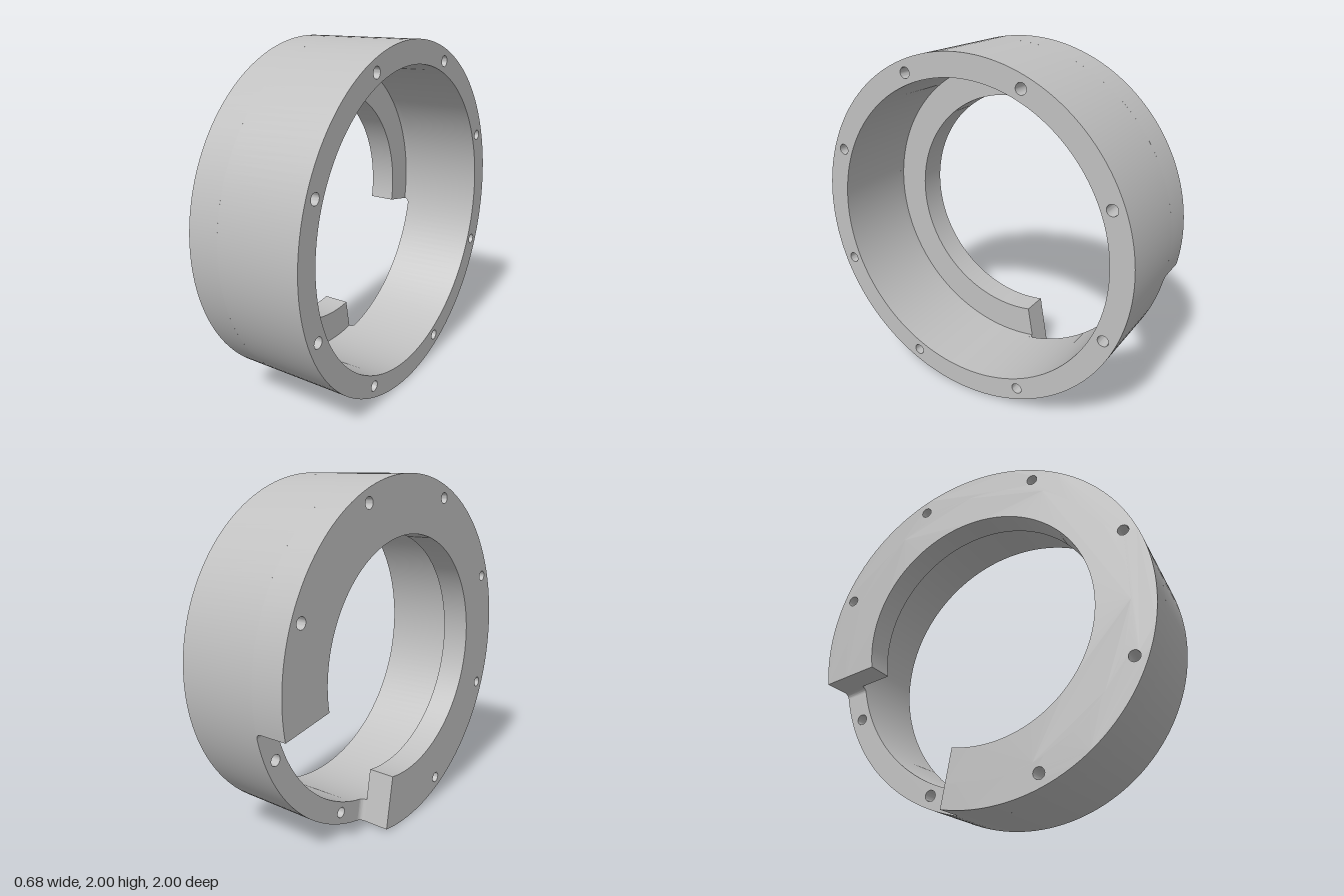
import * as THREE from 'three';
import { toCreasedNormals } from 'three/addons/utils/BufferGeometryUtils.js';

const OUTER = 1, BORE = 0.87, LIP = 0.685;
const BACK = -0.34, FLOOR = -0.15, LIP_END = -0.18, FRONT = 0.34;
const BOLT_R = 0.932, HOLE_R = 0.031, FILLET = 0.03;
const rad = THREE.MathUtils.degToRad;
const NOTCH_START = rad(-79.8), NOTCH_END = rad(-10.2);

// Round bolt hole on the bolt circle
function boltHole(angle) {
  const pts = [];
  for (let i = 0; i < 28; i++) {
    const t = -i / 28 * Math.PI * 2;
    pts.push(new THREE.Vector2(
      Math.cos(angle) * BOLT_R + Math.cos(t) * HOLE_R,
      Math.sin(angle) * BOLT_R + Math.sin(t) * HOLE_R));
  }
  return new THREE.Path(pts);
}

// Ring sector that skips the notch
function sector(rOuter, rInner) {
  const a = NOTCH_END, b = NOTCH_START + Math.PI * 2;
  const shape = new THREE.Shape();
  shape.absarc(0, 0, rOuter, a, b, false);
  shape.absarc(0, 0, rInner, b, a, true);
  shape.closePath();
  return shape;
}

// Extrude a profile along x between two planes
function alongX(shape, x0, x1) {
  const geo = new THREE.ExtrudeGeometry(shape, { depth: x1 - x0, bevelEnabled: false, curveSegments: 72 });
  geo.rotateY(Math.PI / 2).translate(x0, 0, 0);
  return toCreasedNormals(geo, 0.5);
}

export function createModel() {
  const group = new THREE.Group();
  const grey = new THREE.MeshStandardMaterial({ color: 0xc0c0c0 });
  grey.name = 'greyMetal';
  const add = (name, geo) => {
    const mesh = new THREE.Mesh(geo, grey);
    mesh.name = name;
    mesh.position.y = OUTER;
    group.add(mesh);
    return mesh;
  };
  const boltAngles = Array.from({ length: 8 }, (_, i) => rad(22.5 + 45 * i));

  // Full ring with eight bolt holes
  const full = new THREE.Shape().absarc(0, 0, OUTER, 0, Math.PI * 2, false);
  full.holes.push(new THREE.Path().absarc(0, 0, BORE, 0, Math.PI * 2, true));
  boltAngles.forEach(a => full.holes.push(boltHole(a)));
  add('ring', alongX(full, FLOOR, FRONT));

  // Notched wall; the last two holes open into the notch
  const wall = sector(OUTER, BORE);
  boltAngles.slice(0, 6).forEach(a => wall.holes.push(boltHole(a)));
  add('notchedWall', alongX(wall, BACK, FLOOR));

  // Inner retaining lip
  add('innerLip', alongX(sector(BORE, LIP), BACK, LIP_END));

  // Concave fillets in the two corners of the notch floor
  const section = new THREE.Shape();
  section.moveTo(0, 0);
  section.lineTo(FILLET, 0);
  section.absarc(FILLET, FILLET, FILLET, -Math.PI / 2, -Math.PI, true);
  section.closePath();
  for (const [angle, side] of [[NOTCH_START, 1], [NOTCH_END, -1]]) {
    const radial = new THREE.Vector3(0, Math.sin(angle), -Math.cos(angle));
    const tangent = new THREE.Vector3(0, Math.cos(angle), Math.sin(angle)).multiplyScalar(side);
    const start = radial.clone().multiplyScalar(side > 0 ? OUTER : BORE);
    start.x = FLOOR;
    const geo = new THREE.ExtrudeGeometry(section, { depth: OUTER - BORE, bevelEnabled: false, curveSegments: 8 });
    geo.applyMatrix4(new THREE.Matrix4()
      .makeBasis(tangent, new THREE.Vector3(-1, 0, 0), radial.multiplyScalar(-side))
      .setPosition(start));
    add('notchFillet', toCreasedNormals(geo, 0.5));
  }
  return group;
}
